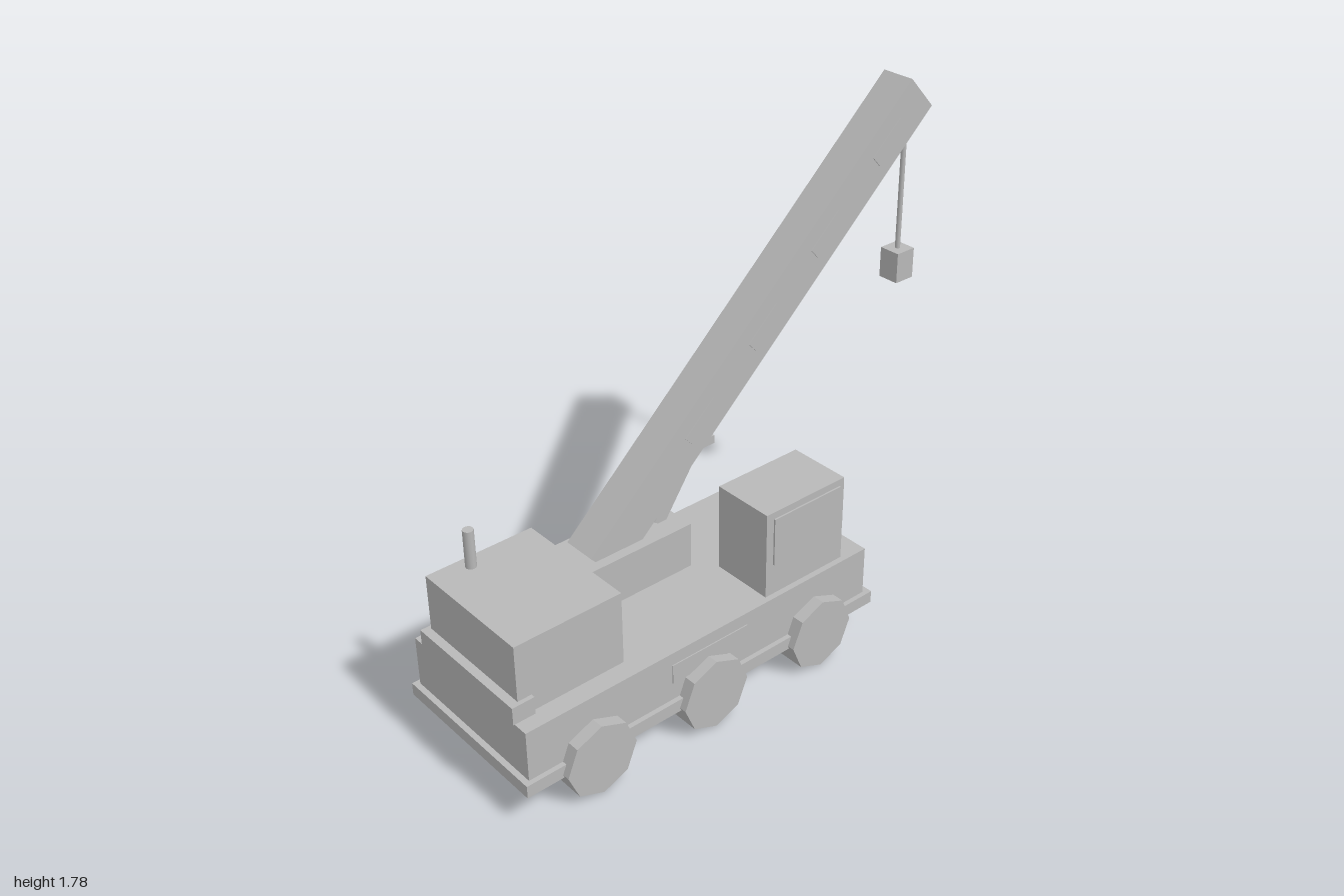
import * as THREE from 'three';

export function createModel() {
  const model = new THREE.Group();
  model.name = 'mobileCrane';
  const grey = new THREE.MeshStandardMaterial({ color: 0xb8b8b8 });
  grey.name = 'plain grey';

  const add = (name, geometry, x, y, z, parent = model) => {
    const mesh = new THREE.Mesh(geometry, grey);
    mesh.name = name;
    mesh.position.set(x, y, z);
    parent.add(mesh);
    return mesh;
  };
  // Box given by its extents on each axis
  const box = (name, x0, x1, y0, y1, z0, z1, parent = model) =>
    add(name, new THREE.BoxGeometry(x1 - x0, y1 - y0, z1 - z0),
      (x0 + x1) / 2, (y0 + y1) / 2, (z0 + z1) / 2, parent);

  // Chassis
  box('chassisSkirt', -0.31, 0.31, 0.12, 0.165, -0.44, 1);
  box('chassisBody', -0.293, 0.293, 0.125, 0.345, -0.415, 0.98);
  for (const s of [-1, 1]) {
    add('sidePanel', new THREE.BoxGeometry(0.008, 0.07, 0.31), s * 0.293, 0.265, 0.275);
  }

  // Eight-sided wheels, three on each side
  const wheel = new THREE.CylinderGeometry(0.13, 0.13, 0.096, 8).toNonIndexed();
  wheel.rotateZ(Math.PI / 2);
  wheel.computeVertexNormals();
  for (const z of [0.74, 0.285, -0.18]) {
    for (const s of [-1, 1]) add('wheel', wheel, s * 0.288, 0.132, z);
  }

  // Front housing with its ledge and exhaust
  box('frontHousing', -0.23, 0.225, 0.345, 0.605, 0.565, 0.955);
  box('frontLedge', -0.245, 0.24, 0.345, 0.407, 0.905, 0.985);
  add('exhaustPipe', new THREE.CylinderGeometry(0.018, 0.018, 0.14, 12), -0.182, 0.67, 0.823);

  // Operator cab and its windows
  box('operatorCab', 0.045, 0.272, 0.345, 0.66, -0.32, 0.02);
  box('cabSideWindow', 0.27, 0.278, 0.46, 0.635, -0.3, -0.01);
  box('cabRearWindow', 0.055, 0.265, 0.46, 0.635, -0.328, -0.319);

  // Boom mount
  box('boomMount', -0.215, -0.02, 0.345, 0.51, 0.085, 0.495);
  box('smallLamp', -0.215, -0.165, 0.66, 0.69, -0.145, -0.097);

  // Tilted boom with thin side plates
  const boom = new THREE.Group();
  boom.name = 'boom';
  boom.position.set(-0.118, 1.0975, -0.268);
  boom.rotation.x = -0.828;
  model.add(boom);
  add('boomBeam', new THREE.BoxGeometry(0.124, 1.849, 0.154), 0, 0, 0, boom);
  for (let i = -1; i <= 2; i++) {
    for (const s of [-1, 1]) {
      add('boomSidePlate', new THREE.BoxGeometry(0.008, 0.16, 0.045), s * 0.062, i * 0.364, 0, boom);
    }
  }

  // Lifting strut between mount and boom
  const strut = add('liftStrut', new THREE.BoxGeometry(0.05, 0.4, 0.045), -0.118, 0.671, 0.045);
  strut.rotation.x = -0.6;

  // Hoist cable and load block
  add('hoistCable', new THREE.CylinderGeometry(0.009, 0.009, 0.52, 8), -0.118, 1.4, -0.945);
  box('loadBlock', -0.158, -0.078, 1.04, 1.15, -0.985, -0.905);

  return model;
}
